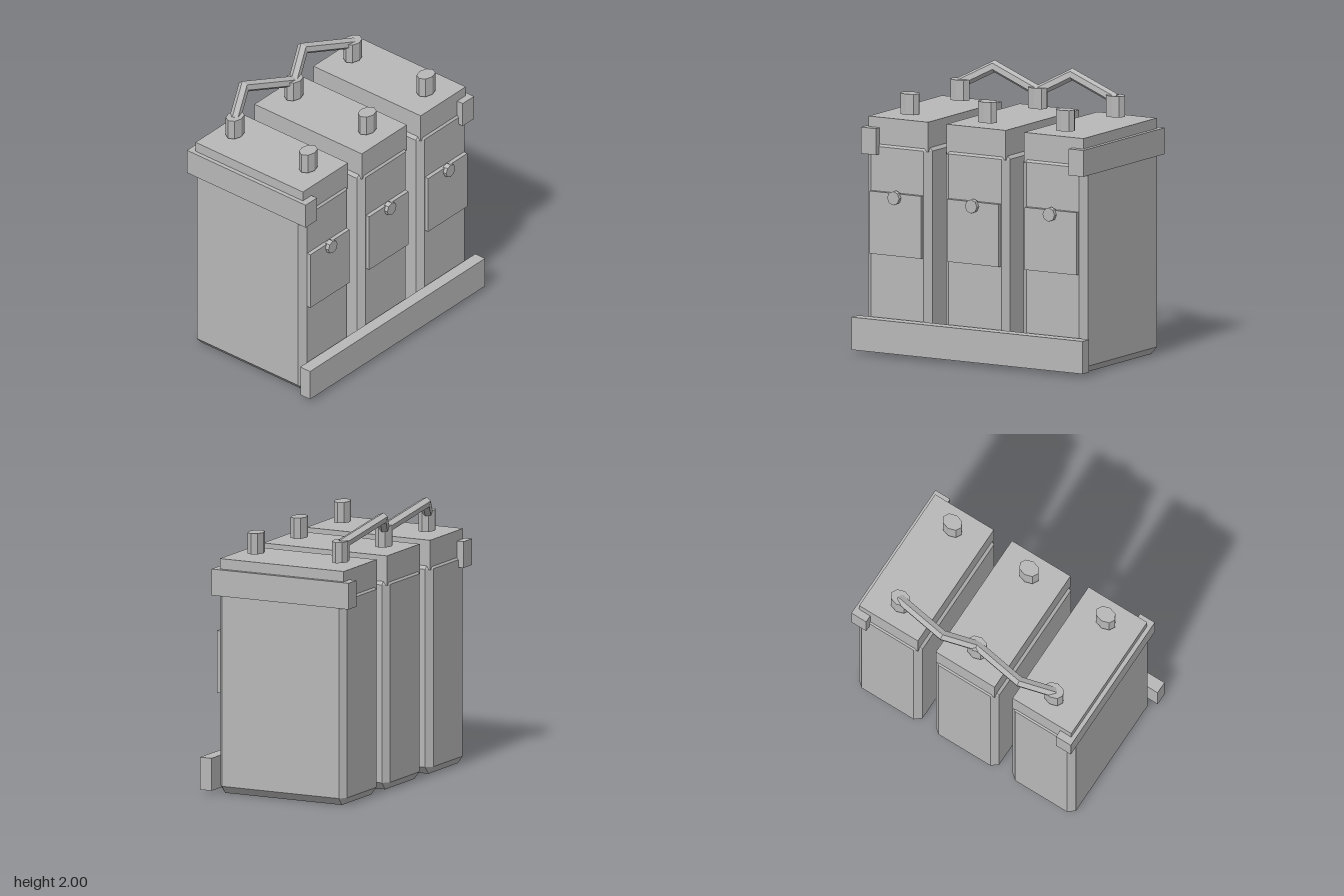
import * as THREE from 'three';
import { ConvexGeometry } from 'three/addons/geometries/ConvexGeometry.js';

const grey = new THREE.MeshStandardMaterial({ color: 0xb8b8b8, flatShading: true });
grey.name = 'plain grey';

function add(parent, name, geometry, x = 0, y = 0, z = 0) {
  const mesh = new THREE.Mesh(geometry, grey);
  mesh.name = name;
  mesh.position.set(x, y, z);
  parent.add(mesh);
  return mesh;
}

// Box given by its limits on each axis
function addBox(parent, name, [x0, x1], [y0, y1], [z0, z1]) {
  return add(parent, name, new THREE.BoxGeometry(x1 - x0, y1 - y0, z1 - z0),
    (x0 + x1) / 2, (y0 + y1) / 2, (z0 + z1) / 2);
}

// Box with every edge and corner cut off
function chamferedBox(w, h, d, cx, cy, cz) {
  const points = [];
  for (const sx of [-1, 1]) for (const sy of [-1, 1]) for (const sz of [-1, 1]) {
    const x = w / 2, y = h / 2, z = d / 2;
    points.push(
      new THREE.Vector3(sx * x, sy * (y - cy), sz * (z - cz)),
      new THREE.Vector3(sx * (x - cx), sy * y, sz * (z - cz)),
      new THREE.Vector3(sx * (x - cx), sy * (y - cy), sz * z));
  }
  return new ConvexGeometry(points);
}

// Six-sided bar swept with mitred joints along a zigzag in a leaning plane
function zigzagBar(path, origin, rise, radius) {
  const across = new THREE.Vector3(1, 0, 0).cross(rise).normalize();
  const sides = 6;
  const pts = path.map(([x, s]) => new THREE.Vector2(x, s));
  const place = (x, s, n) => origin.clone().addScaledVector(rise, s)
    .addScaledVector(across, n).add(new THREE.Vector3(x, 0, 0));
  const normalOf = (a, b) => {
    const d = b.clone().sub(a).normalize();
    return new THREE.Vector2(-d.y, d.x);
  };
  const rings = pts.map((p, i) => {
    const before = i > 0 ? normalOf(pts[i - 1], p) : normalOf(p, pts[i + 1]);
    const after = i < pts.length - 1 ? normalOf(p, pts[i + 1]) : before;
    const miter = before.clone().add(after).normalize();
    miter.divideScalar(miter.dot(before));
    return Array.from({ length: sides }, (_, k) => {
      const a = k / sides * Math.PI * 2;
      const u = Math.sin(a) * radius;
      return place(p.x + miter.x * u, p.y + miter.y * u, Math.cos(a) * radius);
    });
  });
  const corners = [];
  const tri = (a, b, c) => corners.push(a, b, c);
  for (let i = 0; i < rings.length - 1; i++) for (let k = 0; k < sides; k++) {
    const m = (k + 1) % sides;
    const a = rings[i][k], b = rings[i + 1][k], c = rings[i + 1][m], d = rings[i][m];
    tri(a, b, c);
    tri(a, c, d);
  }
  const first = rings[0], last = rings[rings.length - 1];
  for (let k = 1; k < sides - 1; k++) {
    tri(first[0], first[k], first[k + 1]);
    tri(last[0], last[k + 1], last[k]);
  }
  // Turn the faces outward if the sweep came out inside out
  const outward = corners[1].clone().sub(corners[0]).cross(corners[2].clone().sub(corners[0]));
  const middle = place((pts[0].x + pts[1].x) / 2, (pts[0].y + pts[1].y) / 2, 0);
  const centre = corners[0].clone().add(corners[2]).multiplyScalar(0.5);
  if (outward.dot(centre.sub(middle)) < 0) corners.reverse();
  const geometry = new THREE.BufferGeometry().setFromPoints(corners);
  geometry.computeVertexNormals();
  return geometry;
}

export function createModel() {
  const model = new THREE.Group();
  model.name = 'batteryBank';

  const bodyGeometry = chamferedBox(0.534, 1.54, 1.02, 0.048, 0.055, 0.04);
  const terminalGeometry = new THREE.CylinderGeometry(0.077, 0.077, 0.15, 8);
  terminalGeometry.scale(1, 1, 0.75);
  const knobGeometry = new THREE.CylinderGeometry(0.05, 0.05, 0.04, 8);
  knobGeometry.rotateX(Math.PI / 2);

  // Three identical cells
  ['rightCell', 'middleCell', 'leftCell'].forEach((name, i) => {
    const cell = new THREE.Group();
    cell.name = name;
    cell.position.x = (i - 1) * 0.646;
    add(cell, 'body', bodyGeometry, 0, 0.77, -0.033);
    addBox(cell, 'lid', [-0.247, 0.247], [1.48, 1.695], [-0.532, 0.465]);
    addBox(cell, 'frontPanel', [-0.215, 0.215], [0.715, 1.165], [0.46, 0.507]);
    add(cell, 'knob', knobGeometry, 0, 1.135, 0.515);
    add(cell, 'frontTerminal', terminalGeometry, 0, 1.785, 0.306);
    add(cell, 'backTerminal', terminalGeometry, 0, 1.785, -0.374);
    model.add(cell);
  });

  // Brackets along the outer sides
  addBox(model, 'leftBracket', [0.8, 0.924], [1.43, 1.62], [-0.586, 0.516]);
  addBox(model, 'rightBracket', [-0.924, -0.8], [1.43, 1.62], [-0.586, 0.516]);

  // Rail across the front
  addBox(model, 'frontRail', [-0.96, 0.96], [0.025, 0.26], [0.497, 0.588]);

  // Bent bar joining the back terminals
  const path = [[-0.65, 0], [-0.424, 0.163], [0, 0], [0.222, 0.163], [0.65, 0]];
  const rise = new THREE.Vector3(0, 0.125, -0.105).normalize();
  add(model, 'connectingBar', zigzagBar(path, new THREE.Vector3(0, 1.831, -0.376), rise, 0.04));

  return model;
}
